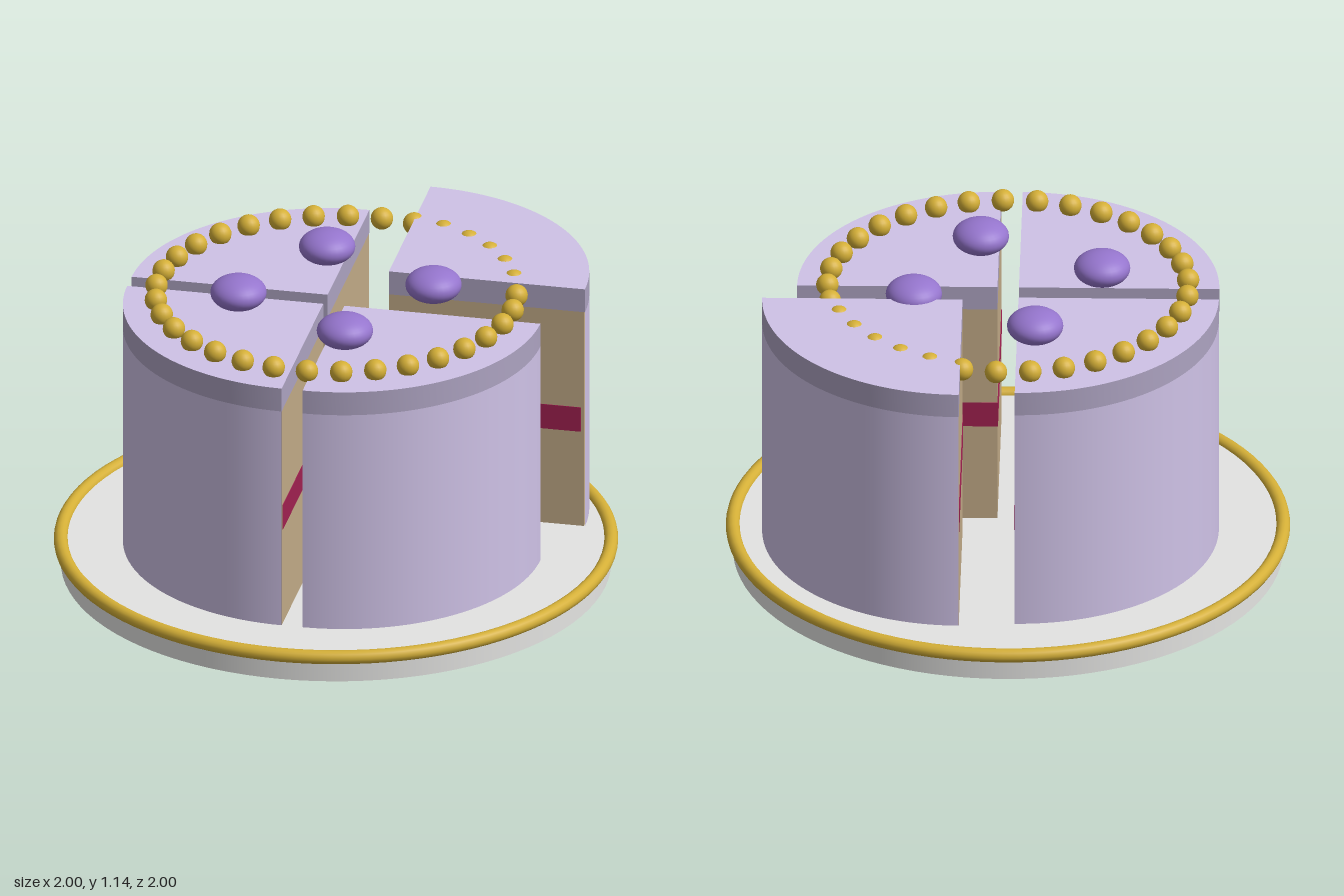
import * as THREE from 'three';
import { toCreasedNormals } from 'three/addons/utils/BufferGeometryUtils.js';

const mat = (name, color) => {
  const m = new THREE.MeshStandardMaterial({ color });
  m.name = name;
  return m;
};

export function createModel() {
  const plateGrey = mat('plate grey', 0xe4e4e2);
  const gold = mat('gold', 0xd4af37);
  const icing = mat('lavender icing', 0xd1c4e9);
  const icingEdge = mat('icing edge', 0xada3c1);
  const sponge = mat('sponge', 0xc2ab87);
  const filling = mat('berry filling', 0xa02050);
  const violet = mat('violet', 0x9575cd);

  const root = new THREE.Group();
  root.name = 'slicedCake';
  const add = (parent, name, geometry, material, x = 0, y = 0, z = 0) => {
    const mesh = new THREE.Mesh(geometry, material);
    mesh.name = name;
    mesh.position.set(x, y, z);
    parent.add(mesh);
    return mesh;
  };

  // Quarter wedge over +x, -z, with its corner at (-out, out)
  const wedge = (radius, y0, y1, out = 0) => {
    const s = new THREE.Shape();
    s.moveTo(-out, -out);
    s.lineTo(radius, -out);
    s.absarc(0, 0, radius, 0, Math.PI / 2, false);
    s.lineTo(-out, radius);
    s.closePath();
    const g = new THREE.ExtrudeGeometry(s, { depth: y1 - y0, bevelEnabled: false, curveSegments: 32 });
    g.rotateX(-Math.PI / 2);
    g.translate(0, y0, 0);
    return toCreasedNormals(g, 0.5);
  };

  // Plate with gilded rim
  add(root, 'plate', new THREE.CylinderGeometry(0.975, 0.975, 0.1, 96), plateGrey, 0, 0.05, 0);
  const rim = new THREE.TorusGeometry(0.975, 0.025, 16, 96);
  rim.rotateX(Math.PI / 2);
  add(root, 'plateRim', rim, gold, 0, 0.095, 0);

  // Four cake slices, the first one pulled out and lifted
  const R = 0.71, base = 0.1, iceY = 0.94, top = 1.03, gap = 0.038;
  const spongeGeo = wedge(R - 0.003, base, iceY);
  const fillingGeo = wedge(0.695, 0.47, 0.565, 0.002);
  const topGeo = wedge(R, iceY, top);
  const sideGeo = new THREE.CylinderGeometry(R, R, iceY - base, 32, 1, true, Math.PI / 2, Math.PI / 2);
  for (let i = 0; i < 4; i++) {
    const turn = new THREE.Group();
    turn.name = 'quarter' + (i + 1);
    turn.rotation.y = i * Math.PI / 2;
    root.add(turn);
    const slice = new THREE.Group();
    slice.name = 'slice';
    const shift = i === 0 ? gap + 0.12 : gap;
    slice.position.set(shift, i === 0 ? 0.055 : 0, -shift);
    turn.add(slice);
    add(slice, 'sponge', spongeGeo, sponge);
    add(slice, 'fillingLayer', fillingGeo, filling);
    add(slice, 'topIcing', topGeo, [icing, icingEdge]);
    add(slice, 'sideIcing', sideGeo, icing, 0, (base + iceY) / 2, 0);
  }

  // Ring of gold beads
  const bead = new THREE.SphereGeometry(0.04, 20, 14);
  const beads = 33;
  for (let i = 0; i < beads; i++) {
    const a = (i / beads) * Math.PI * 2;
    add(root, 'goldBead', bead, gold, 0.64 * Math.cos(a), 1.055, 0.64 * Math.sin(a));
  }

  // Flattened violet sweets
  const sweet = new THREE.SphereGeometry(0.1, 32, 20);
  sweet.scale(1, 0.6, 1);
  for (let i = 0; i < 4; i++) {
    const a = -0.3 + i * Math.PI / 2;
    add(root, 'violetSweet', sweet, violet, 0.347 * Math.cos(a), 1.077, 0.347 * Math.sin(a));
  }
  return root;
}
